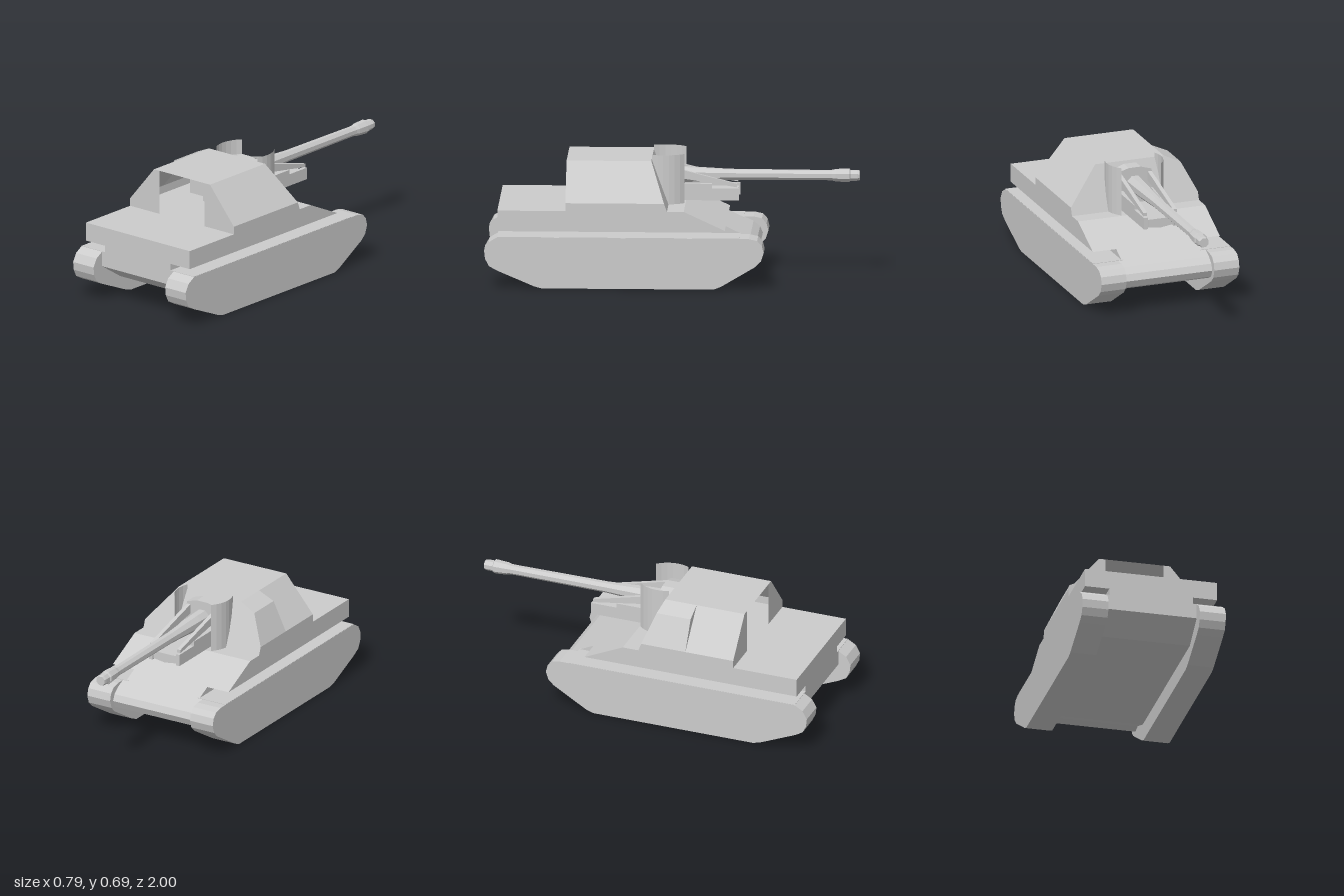
import * as THREE from 'three';

const mat = new THREE.MeshStandardMaterial({ color: 0xcccccc, flatShading: true, side: THREE.DoubleSide });

export function createModel() {
  const root = new THREE.Group();
  const add = (name, geo) => {
    const m = new THREE.Mesh(geo, mat);
    m.name = name;
    root.add(m);
    return m;
  };
  // Side profile of [z, y] points, extruded across x0..x1
  const slab = (name, pts, x0, x1) => {
    const shape = new THREE.Shape(pts.map(p => new THREE.Vector2(p[0], p[1])));
    const g = new THREE.ExtrudeGeometry(shape, { depth: x1 - x0, bevelEnabled: false });
    g.rotateY(-Math.PI / 2);
    g.translate(x1, 0, 0);
    return add(name, g);
  };
  // Cross-section of [x, y] points, extruded along z0..z1
  const bar = (name, pts, z0, z1) => {
    const shape = new THREE.Shape(pts.map(p => new THREE.Vector2(p[0], p[1])));
    const g = new THREE.ExtrudeGeometry(shape, { depth: z1 - z0, bevelEnabled: false });
    g.translate(0, 0, z0);
    return add(name, g);
  };
  // Flat plates, each a convex loop of corners
  const plates = (name, loops) => {
    const v = [];
    for (const l of loops)
      for (let i = 1; i < l.length - 1; i++) v.push(...l[0], ...l[i], ...l[i + 1]);
    const g = new THREE.BufferGeometry();
    g.setAttribute('position', new THREE.Float32BufferAttribute(v, 3));
    g.computeVertexNormals();
    return add(name, g);
  };

  // Tracks and the thin fenders above them
  const track = [
    [0.93, 0.277], [0.975, 0.25], [1, 0.205], [0.995, 0.16], [0.975, 0.12], [0.93, 0.095],
    [0.73, 0.01], [0.69, 0], [-0.23, 0], [-0.27, 0.015], [-0.455, 0.125], [-0.485, 0.155],
    [-0.5, 0.2], [-0.49, 0.24], [-0.465, 0.267], [-0.42, 0.277],
  ];
  for (const s of [-1, 1]) {
    const side = s > 0 ? 'left' : 'right';
    const span = (a, b) => (s > 0 ? [a, b] : [-b, -a]);
    slab(side + 'Track', track, ...span(0.252, 0.396));
    slab(side + 'Fender', [[0.93, 0.273], [0.93, 0.279], [-0.37, 0.279], [-0.37, 0.273]], ...span(0.22, 0.395));
  }

  // Hull: belly with rounded nose, narrow waist, wide upper deck
  slab('lowerHull', [
    [0.93, 0.277], [0.93, 0.195], [0.78, 0.1], [-0.25, 0.1], [-0.36, 0.14], [-0.41, 0.13],
    [-0.45, 0.15], [-0.47, 0.19], [-0.455, 0.225], [-0.42, 0.254], [-0.37, 0.277],
  ], -0.252, 0.252);
  slab('hullWaist', [[0.93, 0.315], [0.93, 0.277], [-0.37, 0.277], [-0.29, 0.315]], -0.231, 0.231);
  slab('upperHull', [[0.93, 0.417], [0.93, 0.315], [-0.29, 0.315], [-0.07, 0.417]], -0.365, 0.365);

  // Casemate: open doorway at the rear, bulged panel on one side
  const rear = 0.565, mid = 0.29;
  const front = p => [p[0], p[1], 0.02 + (p[1] - 0.417) * 0.37];
  const at = (p, z) => [p[0], p[1], z];
  const L = [[0.365, 0.417], [0.365, 0.46], [0.197, 0.661]];
  const R = L.map(p => [-p[0], p[1]]);
  const bulge = [-0.288, 0.62];
  const strip = (a, b, z0, z1) => [
    z0 === null ? front(a) : at(a, z0), z0 === null ? front(b) : at(b, z0), at(b, z1), at(a, z1)];
  plates('casemate', [
    strip(L[0], L[1], null, rear), strip(L[1], L[2], null, rear),
    strip(R[0], R[1], null, rear), strip(R[1], R[2], mid, rear),
    strip(R[1], bulge, null, mid), strip(bulge, R[2], null, mid),
    [at(R[1], mid), at(bulge, mid), at(R[2], mid)],
    strip(L[2], R[2], null, rear),
    [L[0], L[1], L[2], R[2], bulge, R[1], R[0]].map(front),
    ...[L, R].map(P => {
      const x = Math.sign(P[0][0]) * 0.16;
      return [[x, 0.417], P[0], P[1], P[2], [x, 0.661]].map(p => at(p, rear));
    }),
  ]);

  // Curved gun shields either side of the mount
  const arc = 1.19;
  for (const [name, start] of [['leftShield', 1.147], ['rightShield', 2 * Math.PI - 1.147 - arc]]) {
    const g = new THREE.CylinderGeometry(0.158, 0.158, 0.268, 6, 1, true, start, arc);
    g.translate(0, 0.551, 0.045);
    add(name, g);
  }

  // Gun mount: collar, breech and V-bottomed cradle
  bar('mantlet', [
    [-0.11, 0.52], [0.11, 0.52], [0.11, 0.56], [0.095, 0.627], [0.035, 0.645],
    [-0.035, 0.645], [-0.095, 0.627], [-0.11, 0.56],
  ], 0.03, 0.16);
  bar('breech', [[-0.067, 0.52], [0.067, 0.52], [0.067, 0.616], [-0.067, 0.616]], 0.05, 0.42);
  bar('breechCradle', [[-0.078, 0.52], [-0.078, 0.44], [0, 0.425], [0.078, 0.44], [0.078, 0.52]], -0.06, 0.3);
  bar('frontCradle', [[-0.07, 0.48], [-0.07, 0.438], [0, 0.428], [0.07, 0.438], [0.07, 0.48]], -0.35, 0);
  for (const s of [-1, 1]) {
    const side = s > 0 ? 'left' : 'right';
    const span = s > 0 ? [0.074, 0.096] : [-0.096, -0.074];
    slab(side + 'CradleRail', [
      [0.08, 0.43], [0.08, 0.52], [-0.21, 0.52], [-0.21, 0.495], [-0.356, 0.495], [-0.356, 0.43],
    ], ...span);
    slab(side + 'SlopingArm', [[0.06, 0.62], [-0.04, 0.597], [-0.345, 0.52], [-0.345, 0.502], [-0.04, 0.55], [0.06, 0.565]], ...span);
  }

  // Barrel with muzzle brake, turned from [radius, distance] points
  const turned = [
    [0, -0.1], [0.048, -0.1], [0.045, 0.05], [0.031, 0.3], [0.028, 0.82], [0.029, 0.85],
    [0.034, 0.87], [0.038, 0.93], [0.038, 0.945], [0.03, 0.95], [0.03, 0.985], [0.027, 1], [0, 1],
  ].map(p => new THREE.Vector2(p[0], p[1]));
  const barrel = new THREE.LatheGeometry(turned, 8);
  barrel.rotateY(Math.PI / 8);
  barrel.rotateX(-Math.PI / 2);
  barrel.translate(0, 0.554, 0);
  add('barrel', barrel);

  return root;
}
